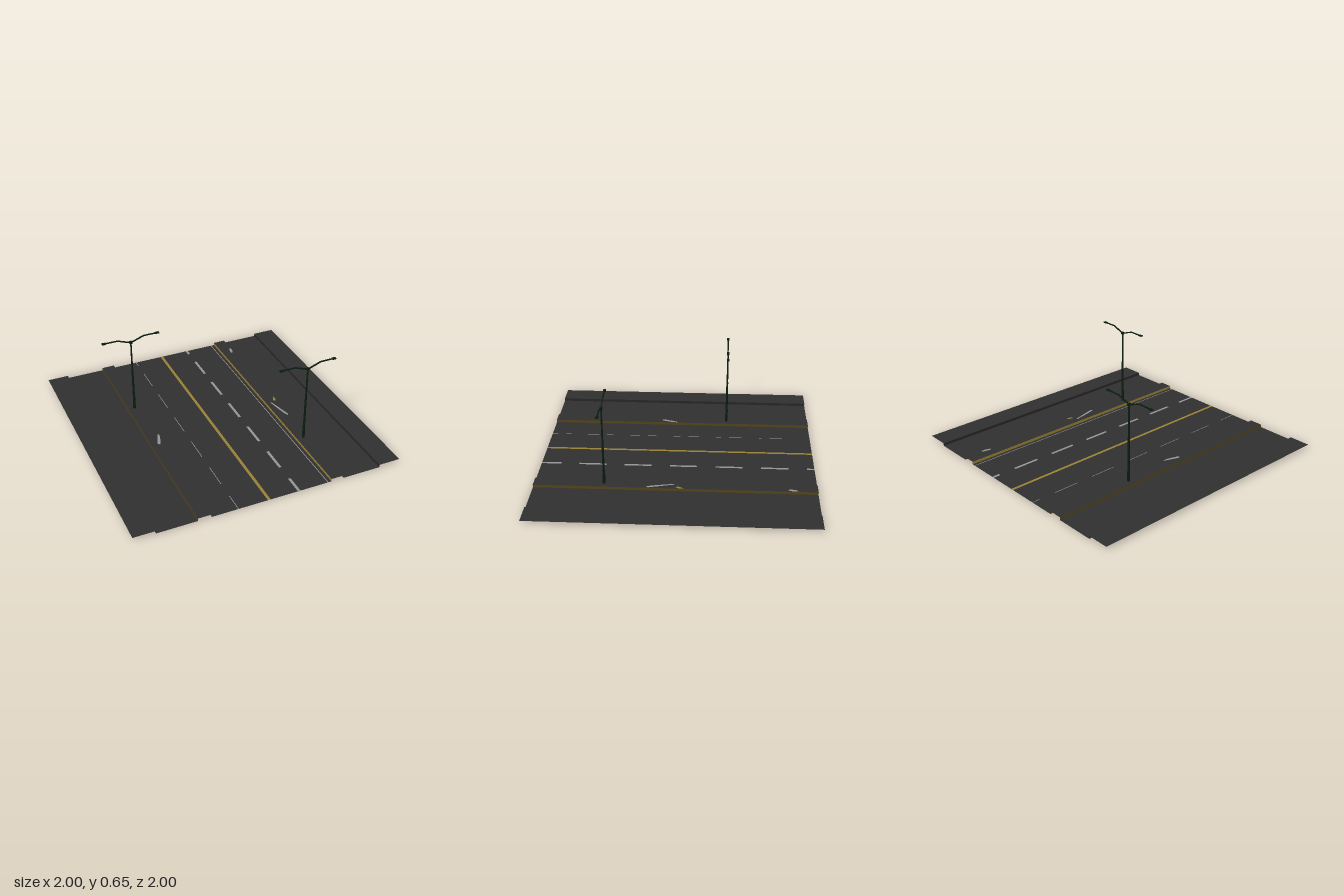
import * as THREE from 'three';

const mat = (name, color) => {
  const m = new THREE.MeshStandardMaterial({ color, side: THREE.DoubleSide });
  m.name = name;
  return m;
};

export function createModel() {
  const root = new THREE.Group();
  root.name = 'streetSection';
  const asphalt = mat('asphalt', 0x2f2f2f);
  const kerb = mat('kerbStone', 0x2a2526);
  const kerbPaint = mat('kerbPaint', 0x51431a);
  const yellow = mat('yellowPaint', 0x978033);
  const white = mat('whitePaint', 0x939393);
  const metal = mat('darkGreenMetal', 0x0a1c0f);
  const H = 0.021, LIFT = 0.0008;

  const add = (parent, name, geo, m, x = 0, y = 0, z = 0) => {
    const mesh = new THREE.Mesh(geo, m);
    mesh.name = name;
    mesh.position.set(x, y, z);
    parent.add(mesh);
    return mesh;
  };

  // Horizontal sheet between two x and two z limits
  const sheet = (name, x0, x1, z0, z1, y, m) =>
    add(root, name, new THREE.PlaneGeometry(x1 - x0, z1 - z0).rotateX(-Math.PI / 2), m,
      (x0 + x1) / 2, y, (z0 + z1) / 2);

  // Upright kerb face along the street, facing +x or -x
  const wall = (name, x, dir, m) =>
    add(root, name, new THREE.PlaneGeometry(2, H).rotateY(dir * Math.PI / 2), m, x, H / 2, 0);

  // Pavements, side lanes, medians and carriageway, open at the ends
  [
    ['rightPavement', -1, -0.84, H], ['rightSideLane', -0.84, -0.55, 0],
    ['rightMedian', -0.55, -0.45, H], ['carriageway', -0.45, 0.45, 0],
    ['leftMedian', 0.45, 0.545, H], ['leftSideLane', 0.545, 0.835, 0],
    ['leftPavement', 0.835, 1, H],
  ].forEach(([name, x0, x1, y]) => sheet(name, x0, x1, -1, 1, y, asphalt));

  // Kerb faces
  wall('rightPavementKerb', -0.84, 1, kerb);
  wall('leftPavementKerb', 0.835, -1, kerb);
  wall('rightMedianOuterKerb', -0.55, -1, kerbPaint);
  wall('rightMedianInnerKerb', -0.45, 1, kerbPaint);
  wall('leftMedianInnerKerb', 0.45, -1, yellow);
  wall('leftMedianOuterKerb', 0.545, 1, kerbPaint);

  // Road markings
  sheet('centreLine', -0.04, -0.018, -1, 1, LIFT, yellow);
  sheet('edgeLine', 0.42, 0.426, -1, 1, LIFT, white);
  for (let i = 0; i < 7; i++) {
    const z0 = Math.max(-1, -1.145 + i / 3), z1 = Math.min(1, -0.945 + i / 3);
    sheet('leftLaneDash', 0.188, 0.208, z0, z1, LIFT, white);
    sheet('rightLaneDash', -0.26, -0.255, z0, z1, LIFT, white);
  }

  // Worn paint patches on the medians, outlined in x and z
  const patch = (name, pts, m) => {
    const shape = new THREE.Shape(pts.map(([x, z]) => new THREE.Vector2(x, -z)));
    add(root, name, new THREE.ShapeGeometry(shape).rotateX(-Math.PI / 2), m, 0, H + LIFT, 0);
  };
  patch('rightPatch', [[-0.5, 0.14], [-0.465, 0.04], [-0.452, 0.03], [-0.455, 0.07], [-0.48, 0.15], [-0.492, 0.155]], white);
  patch('leftPatch', [[0.482, 0.0], [0.495, 0.01], [0.54, 0.19], [0.53, 0.205], [0.515, 0.17]], white);
  patch('backPatch', [[0.515, -0.8], [0.525, -0.85], [0.543, -0.865], [0.544, -0.83], [0.53, -0.79]], white);
  patch('yellowPatch', [[0.516, -0.02], [0.542, -0.065], [0.544, -0.03], [0.53, -0.005]], yellow);

  // Street lamp with two bent arms
  const bar = (parent, name, a, b, h, d) => {
    const dx = b[0] - a[0], dy = b[1] - a[1];
    const m = add(parent, name, new THREE.BoxGeometry(Math.hypot(dx, dy), h, d), metal,
      (a[0] + b[0]) / 2, (a[1] + b[1]) / 2, 0);
    m.rotation.z = Math.atan2(dy, dx);
  };
  const lamp = (name, x, y, z) => {
    const g = new THREE.Group();
    g.name = name;
    g.position.set(x, y, z);
    const profile = [[0, 0], [0.0105, 0], [0.0095, 0.1], [0.008, 0.11], [0.0075, 0.34],
      [0.0065, 0.35], [0.0055, 0.59], [0, 0.59]].map(([r, h]) => new THREE.Vector2(r, h));
    add(g, 'pole', new THREE.LatheGeometry(profile, 10), metal);
    add(g, 'poleCap', new THREE.BoxGeometry(0.018, 0.018, 0.018), metal, 0, 0.588, 0);
    for (const s of [-1, 1]) {
      bar(g, 'slopingArm', [0, 0.586], [s * 0.1, 0.623], 0.008, 0.009);
      bar(g, 'levelArm', [s * 0.097, 0.623], [s * 0.2, 0.623], 0.007, 0.009);
      add(g, 'lampHead', new THREE.BoxGeometry(0.03, 0.008, 0.02), metal, s * 0.205, 0.623, 0);
    }
    root.add(g);
  };
  lamp('rightLamp', -0.5, 0.015, -0.355);
  lamp('leftLamp', 0.5, 0.025, 0.5);

  return root;
}
